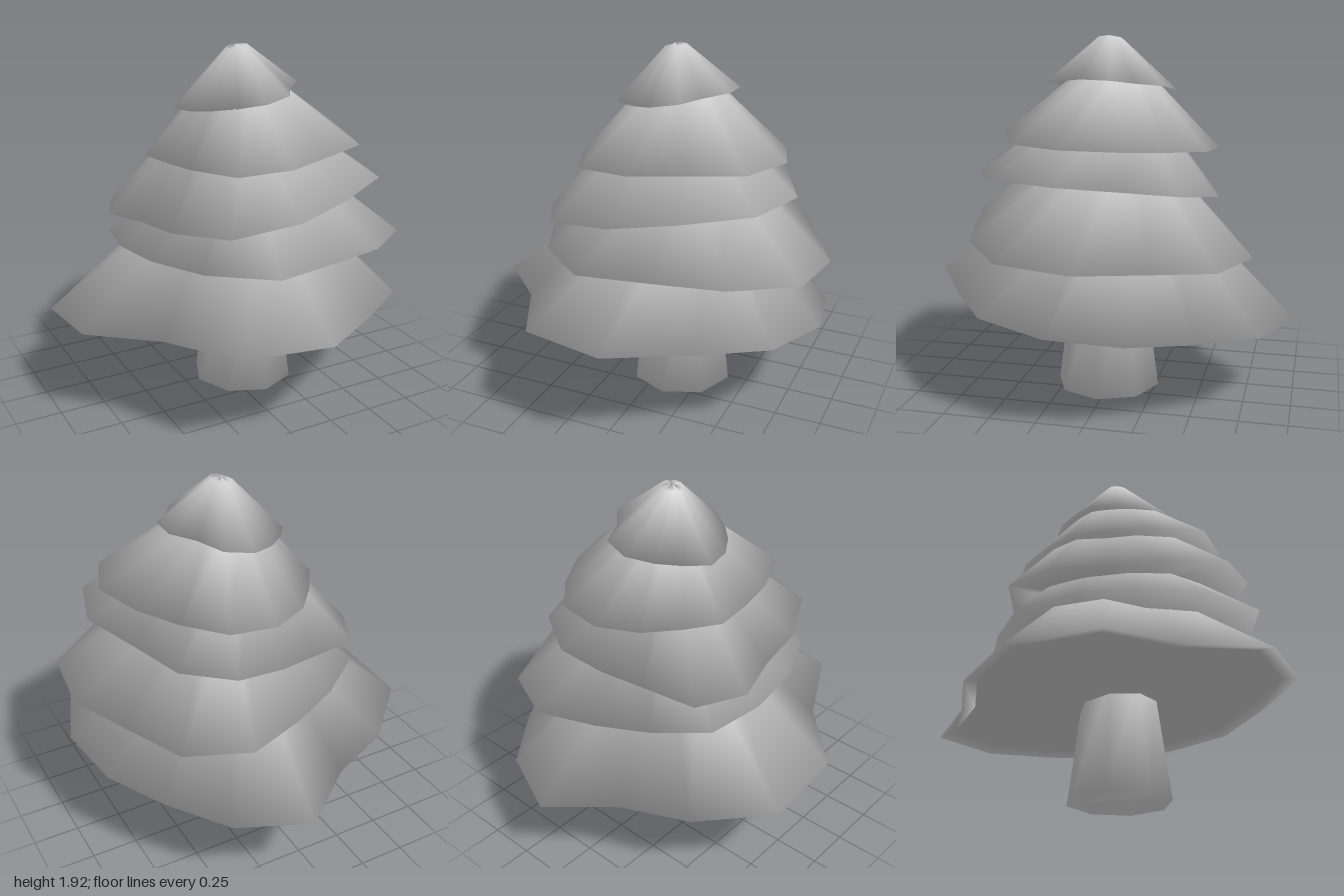
import * as THREE from 'three';

// Each tier: rim plane [height, slope in x, slope in z], apex, and rim radii at
// even angles around the apex axis, from the back towards +x, starting at turn degrees.
const TIERS = [
  {
    name: 'bottomBranches', plane: [0.51, -0.005, 0.085], apex: [0.08, 1.38, -0.05], turn: 0,
    radii: [0.95, 0.88, 0.79, 0.82, 0.88, 0.92, 0.9, 1.05, 1.06, 0.87, 1.02, 1.04, 0.88, 0.77],
  },
  {
    name: 'lowerBranches', plane: [0.865, -0.03, 0.06], apex: [0.1, 1.56, -0.02], turn: 15,
    radii: [0.79, 0.82, 0.75, 0.84, 0.9, 0.82, 0.77, 0.88, 0.8, 0.72, 0.7, 0.73, 0.66, 0.67],
  },
  {
    name: 'middleBranches', plane: [1.115, 0.125, 0.06], apex: [0.02, 1.77, -0.03], turn: 0,
    radii: [0.54, 0.63, 0.68, 0.65, 0.78, 0.84, 0.77, 0.8, 0.81, 0.66, 0.57, 0.65, 0.65, 0.53],
  },
  {
    name: 'upperBranches', plane: [1.36, 0.035, 0.04], apex: [0.06, 1.9, -0.02], turn: 0,
    radii: [0.55, 0.58, 0.55, 0.58, 0.67, 0.69, 0.6, 0.64, 0.66, 0.52, 0.46, 0.48, 0.45, 0.49],
  },
  {
    name: 'treeTop', plane: [1.64, 0.16, 0.03], apex: [0.06, 1.92, 0.02], turn: 0, top: true,
    radii: [0.36, 0.36, 0.29, 0.34, 0.34, 0.29, 0.34, 0.34, 0.3, 0.29, 0.31, 0.34, 0.31, 0.32],
  },
];

// Smooth normals, each face weighted by its corner angle so that small faces count too
function smoothNormals(points, index) {
  const normals = points.map(() => new THREE.Vector3());
  for (let f = 0; f < index.length; f += 3) {
    const corners = index.slice(f, f + 3);
    const [a, b, c] = corners.map((i) => points[i]);
    const faceNormal = b.clone().sub(a).cross(c.clone().sub(a)).normalize();
    corners.forEach((i, k) => {
      const toNext = points[corners[(k + 1) % 3]].clone().sub(points[i]);
      const toLast = points[corners[(k + 2) % 3]].clone().sub(points[i]);
      normals[i].addScaledVector(faceNormal, toNext.angleTo(toLast));
    });
  }
  return normals.map((normal) => normal.normalize().toArray());
}

// Smooth surface through closed rings of equal length; the first ring is filled in
function loft(rings) {
  const n = rings[0].length, index = [];
  for (let j = 1; j < n - 1; j++) index.push(0, j, j + 1);
  for (let r = 0; r < rings.length - 1; r++) {
    for (let j = 0; j < n; j++) {
      const a = r * n + j, b = r * n + (j + 1) % n;
      index.push(a, a + n, b, b, a + n, b + n);
    }
  }
  const points = rings.flat().map((p) => new THREE.Vector3(...p));
  const normals = smoothNormals(points, index);
  const geometry = new THREE.BufferGeometry();
  geometry.setAttribute('position', new THREE.Float32BufferAttribute(rings.flat(2), 3));
  geometry.setAttribute('normal', new THREE.Float32BufferAttribute(normals.flat(), 3));
  geometry.setIndex(index);
  return geometry;
}

// Ring around (cx, cz) with the given radii, from the back towards +x
function ring(cx, cz, radii, turn, heightAt) {
  return radii.map((radius, i) => {
    const angle = THREE.MathUtils.degToRad(turn + (i * 360) / radii.length);
    const x = cx + radius * Math.sin(angle), z = cz - radius * Math.cos(angle);
    return [x, heightAt(x, z), z];
  });
}

function tierGeometry({ plane, apex, turn, radii, top }, isBottom) {
  const heightAt = (x, z) => plane[0] + plane[1] * x + plane[2] * z;
  const centre = [apex[0], heightAt(apex[0], apex[2]), apex[2]];
  const rim = ring(apex[0], apex[2], radii, turn, heightAt);
  // Rim shrunk by t towards a point, then lifted
  const shrink = (point, t, lift = 0) =>
    rim.map((p) => p.map((v, i) => v + (point[i] - v) * t + (i === 1 ? lift : 0)));

  // Recessed underside: a narrow lip on the bottom tier, a wide one on the others
  const underside = isBottom ? shrink(centre, 0.09, 0.02) : shrink(centre, 0.55, 0.03);
  // The top tier closes in a blunt tip; the others end inside the tier above
  const skirt = top
    ? [shrink(apex, 0.82, 0.035), shrink(apex, 1)]
    : [shrink(apex, 0.68)];
  return loft([underside, rim, ...skirt]);
}

export function createModel() {
  const model = new THREE.Group();
  model.name = 'tree';
  const material = new THREE.MeshStandardMaterial({ color: 0xcccccc });
  const addPart = (name, geometry) => {
    const mesh = new THREE.Mesh(geometry, material);
    mesh.name = name;
    model.add(mesh);
  };

  // Tapered eight-sided trunk
  const trunkRing = (radius, y) => ring(0.11, 0.02, Array(8).fill(radius), 0, () => y);
  addPart('trunk', loft([trunkRing(0.285, 0), trunkRing(0.2, 0.62)]));

  // Overlapping, tilted branch tiers
  TIERS.forEach((tier, i) => addPart(tier.name, tierGeometry(tier, i === 0)));
  return model;
}
